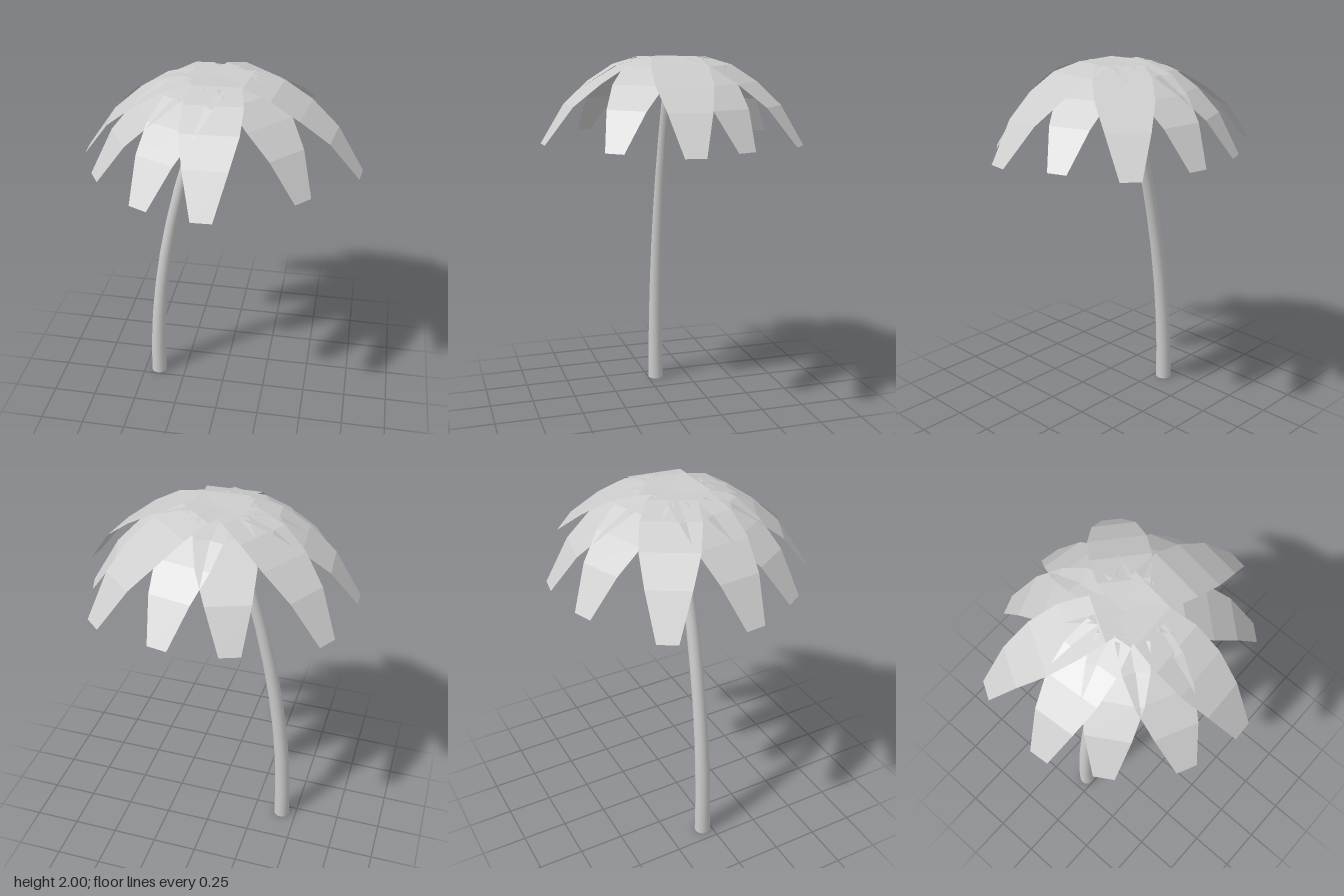
import * as THREE from 'three';

export function createModel() {
  const group = new THREE.Group();
  group.name = 'palmTree';
  const grey = new THREE.MeshStandardMaterial({ color: 0xcccccc, side: THREE.DoubleSide });
  grey.name = 'palmGrey';

  // Trunk: a tapered cylinder leaning along a parabola
  const trunkX = (y) => -0.415 + 0.0975 * y * y;
  const trunkZ = (y) => -0.05 + 0.0085 * y;
  const trunkGeo = new THREE.CylinderGeometry(0.028, 0.045, 1.985, 20, 9);
  trunkGeo.translate(0, 1.985 / 2, 0);
  const p = trunkGeo.attributes.position;
  for (let i = 0; i < p.count; i++) {
    const y = p.getY(i);
    p.setX(i, p.getX(i) + trunkX(y));
    p.setZ(i, p.getZ(i) + trunkZ(y));
  }
  // side normals lean with the trunk
  const n = trunkGeo.attributes.normal;
  const v = new THREE.Vector3();
  for (let i = 0; i < n.count; i++) {
    v.fromBufferAttribute(n, i);
    if (Math.abs(v.y) > 0.9) continue;
    v.y -= v.x * 0.195 * p.getY(i);
    v.normalize();
    n.setXYZ(i, v.x, v.y, v.z);
  }
  const trunk = new THREE.Mesh(trunkGeo, grey);
  trunk.name = 'trunk';
  group.add(trunk);

  // Fronds: flat-faced drooping strips; rows are [fraction of length, height, half width]
  const rows = [
    [0, 1.982, 0.08], [0.2, 1.99, 0.125], [0.4, 1.95, 0.15],
    [0.6, 1.865, 0.147], [0.8, 1.75, 0.112], [1, 1.552, 0.053],
  ];
  const cx = -0.015, cz = -0.025;
  function frondGeometry(tx, tz, lift) {
    const dx = tx - cx, dz = tz - cz, len = Math.hypot(dx, dz);
    const corner = ([t, y, w], s) => [
      cx + dx * t - (dz / len) * w * s,
      y + lift * (1 - t),
      cz + dz * t + (dx / len) * w * s,
    ];
    const pos = [];
    for (let i = 0; i < rows.length - 1; i++) {
      const a = corner(rows[i], -1), b = corner(rows[i], 1);
      const c = corner(rows[i + 1], 1), d = corner(rows[i + 1], -1);
      pos.push(...a, ...b, ...c, ...a, ...c, ...d);
    }
    const g = new THREE.BufferGeometry();
    g.setAttribute('position', new THREE.Float32BufferAttribute(pos, 3));
    g.computeVertexNormals();
    return g;
  }

  // Tip positions on the ground plan
  const tips = [
    [0.73, 0.075], [0.615, -0.23], [0.47, -0.58], [0.1, -0.68],
    [-0.25, -0.645], [-0.66, -0.4], [-0.735, 0.03], [-0.605, 0.335],
    [-0.31, 0.605], [0.015, 0.685], [0.465, 0.405],
  ];
  // Fronds lying on top of their neighbours
  const layer = [9, 0, 8, 2, 6, 7, 5, 4, 1, 10, 3];
  const fronds = new THREE.Group();
  fronds.name = 'fronds';
  tips.forEach(([x, z], i) => {
    const frond = new THREE.Mesh(frondGeometry(x, z, layer[i] * 0.001), grey);
    frond.name = 'frond' + (i + 1);
    fronds.add(frond);
  });
  group.add(fronds);

  // Coconuts under the crown
  const nutGeo = new THREE.SphereGeometry(0.023, 14, 10);
  [[0.035, 1.9, -0.02], [-0.012, 1.9, -0.07], [0.003, 1.87, -0.03]].forEach((q, i) => {
    const nut = new THREE.Mesh(nutGeo, grey);
    nut.name = 'coconut' + (i + 1);
    nut.position.set(...q);
    group.add(nut);
  });

  return group;
}
